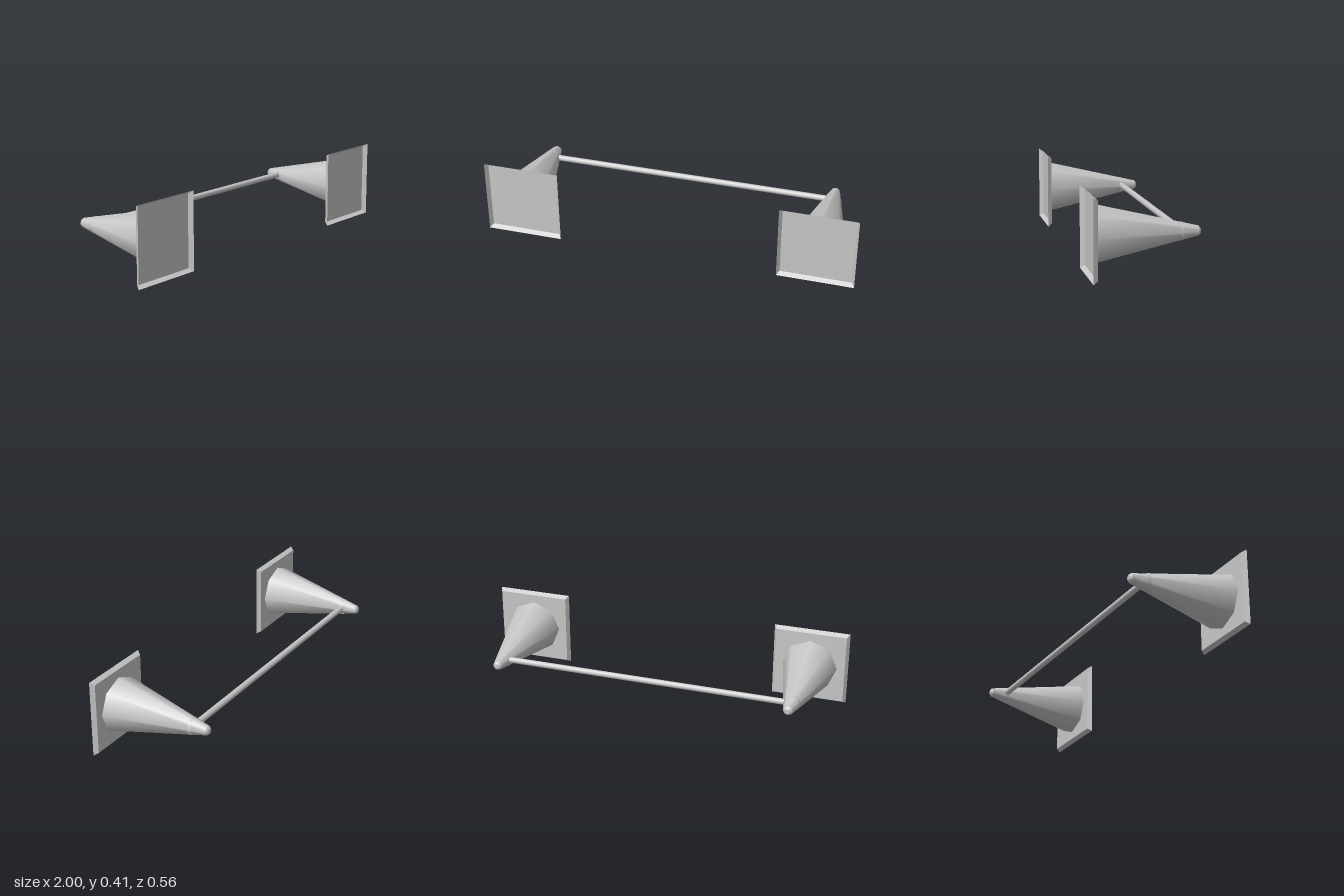
import * as THREE from 'three';

const SIDES = 8;
const CENTRE_Y = 0.205;
const CONE_X = 0.796;

export function createModel() {
  const group = new THREE.Group();
  group.name = 'conesWithBar';
  const grey = new THREE.MeshStandardMaterial({ color: 0xc8c8c8, side: THREE.DoubleSide });
  grey.name = 'light grey';

  const add = (parent, name, geometry) => {
    const mesh = new THREE.Mesh(geometry, grey);
    mesh.name = name;
    parent.add(mesh);
    return mesh;
  };

  // Tapered section along z, from the wide end at zFront to the narrow end at zBack
  const taper = (rFront, rBack, zFront, zBack, open = true) =>
    new THREE.CylinderGeometry(rBack, rFront, zFront - zBack, SIDES, 1, open)
      .rotateX(-Math.PI / 2)
      .translate(0, 0, (zFront + zBack) / 2);

  // Sloping square rim of the hollow base, open towards +z
  const rimGeometry = () => {
    const g = new THREE.CylinderGeometry(0.19 * Math.SQRT2, 0.2045 * Math.SQRT2, 0.023, 4, 1, true, Math.PI / 4)
      .rotateX(-Math.PI / 2)
      .translate(0, 0, 0.2665)
      .toNonIndexed();
    g.computeVertexNormals();
    return g;
  };

  for (const side of [-1, 1]) {
    const cone = new THREE.Group();
    cone.name = side > 0 ? 'leftCone' : 'rightCone';
    cone.position.set(side * CONE_X, CENTRE_Y, 0);

    add(cone, 'baseRim', rimGeometry());
    add(cone, 'basePlate', new THREE.PlaneGeometry(0.38, 0.38).rotateY(Math.PI).translate(0, 0, 0.255));
    add(cone, 'coneBody', taper(0.147, 0.025, 0.255, -0.268));
    add(cone, 'coneTip', taper(0.025, 0.014, -0.268, -0.278, false));
    // Thin collar where the bar is held
    add(cone, 'collar', taper(0.0475, 0.0445, -0.177, -0.19));
    group.add(cone);
  }

  // Cross bar between the cones
  const bar = add(group, 'crossBar', new THREE.CylinderGeometry(0.0165, 0.0165, 1.516, SIDES).rotateZ(Math.PI / 2));
  bar.position.set(0, 0.208, -0.186);

  return group;
}
